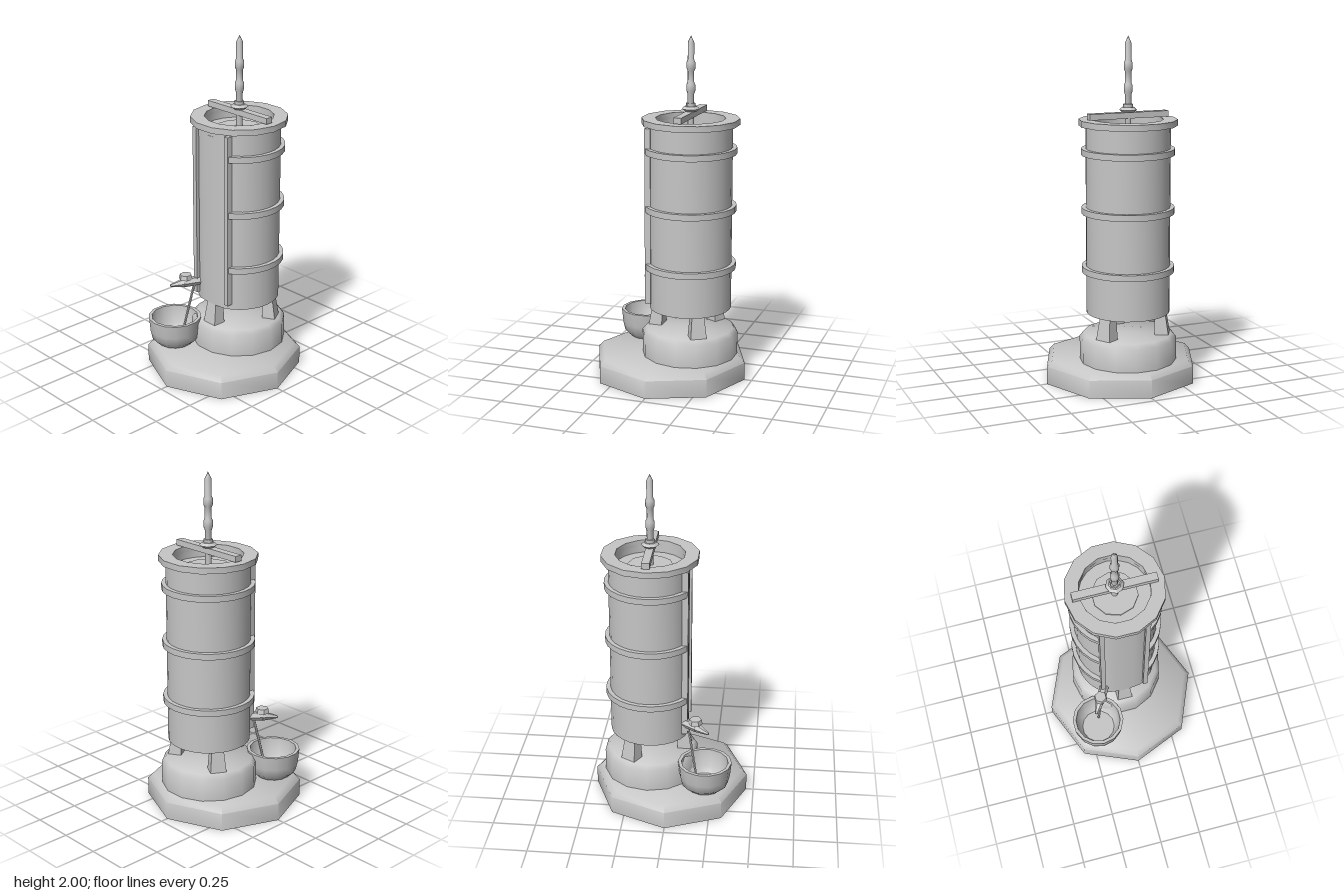
import * as THREE from 'three';
import { toCreasedNormals } from 'three/addons/utils/BufferGeometryUtils.js';

const AXIS_Z = -0.12; // the tank stands behind the centre of the base

export function createModel() {
  const model = new THREE.Group();
  model.name = 'drumWithTap';
  const metal = new THREE.MeshStandardMaterial({ color: 0xc6c6c6, side: THREE.DoubleSide });
  metal.name = 'grey';

  const add = (name, geometry, x = 0, y = 0, z = 0, parent = model) => {
    const mesh = new THREE.Mesh(geometry, metal);
    mesh.name = name;
    mesh.position.set(x, y, z);
    parent.add(mesh);
    return mesh;
  };
  // Turned part from [radius, height] pairs, outer side listed bottom to top
  const turned = (points, sides, crease = 0.9, start = 0, sweep = Math.PI * 2) =>
    toCreasedNormals(new THREE.LatheGeometry(
      points.map(([r, y]) => new THREE.Vector2(r, y)), sides, start, sweep), crease);
  // Rod between two points
  const rod = (name, a, b, ra, rb, sides) => {
    const from = new THREE.Vector3(...a), to = new THREE.Vector3(...b);
    const dir = to.clone().sub(from);
    const geo = toCreasedNormals(new THREE.CylinderGeometry(rb, ra, dir.length(), sides), 0.6);
    const mesh = add(name, geo);
    mesh.position.copy(from).add(to).multiplyScalar(0.5);
    mesh.quaternion.setFromUnitVectors(new THREE.Vector3(0, 1, 0), dir.normalize());
    return mesh;
  };

  // Hollow octagonal base and round plinth
  add('base', turned([[0.457, 0], [0.457, 0.105], [0.425, 0.137], [0, 0.137]], 8));
  add('plinth', turned([[0.28, 0.13], [0.28, 0.27], [0.258, 0.296], [0, 0.296]], 14, 0.9, Math.PI / 14),
    0, 0, AXIS_Z);

  // Three splayed legs, tapering upwards
  for (let i = 0; i < 3; i++) {
    const pivot = new THREE.Group();
    pivot.name = 'leg' + (i + 1);
    pivot.position.z = AXIS_Z;
    pivot.rotation.y = i * Math.PI * 2 / 3;
    model.add(pivot);
    const geo = new THREE.BoxGeometry(0.095, 0.145, 0.08);
    const p = geo.attributes.position;
    for (let k = 0; k < p.count; k++) {
      if (p.getY(k) > 0) p.setXYZ(k, p.getX(k) * 0.72, p.getY(k), p.getZ(k) * 0.72 - 0.012);
    }
    geo.computeVertexNormals();
    add('legPost', geo, 0, 0.363, 0.2, pivot);
  }

  // Tank wall with shallow domed bottom, flattened at the front
  const wall = new THREE.LatheGeometry([[0, 0.405], [0.12, 0.41], [0.24, 0.422], [0.24, 1.51]]
    .map(([r, y]) => new THREE.Vector2(r, y)), 28);
  const wp = wall.attributes.position;
  for (let k = 0; k < wp.count; k++) {
    const z = wp.getZ(k);
    if (z > 0.21) wp.setZ(k, 0.21 + (z - 0.21) * 0.4);
  }
  add('tankWall', toCreasedNormals(wall, 0.6), 0, 0, AXIS_Z);

  // Open rim, lid floor and its raised centre
  add('rim', turned([[0.2, 1.5], [0.28, 1.5], [0.28, 1.535], [0.2, 1.535], [0.2, 1.5]],
    14, 0.9, Math.PI / 14), 0, 0, AXIS_Z);
  add('rimInnerWall', turned([[0.2, 1.455], [0.2, 1.535]], 20), 0, 0, AXIS_Z);
  add('lidFloor', turned([[0.225, 1.46], [0, 1.46]], 20), 0, 0, AXIS_Z);
  add('lidCentre', turned([[0.13, 1.46], [0.13, 1.468], [0, 1.468]], 10), 0, 0, AXIS_Z);

  // Hoops that stop at the front strips
  const gap = 0.56;
  for (const y of [0.66, 1.0, 1.335]) {
    add('hoop', turned([[0.235, y], [0.265, y], [0.265, y + 0.036], [0.235, y + 0.036], [0.235, y]],
      22, 0.9, gap, Math.PI * 2 - gap * 2), 0, 0, AXIS_Z);
  }
  for (const s of [-1, 1]) {
    add('frontStrip', new THREE.BoxGeometry(0.028, 1.03, 0.035), s * 0.131, 0.97, 0.09);
  }

  // Crossbar and central spindle
  add('crossbar', new THREE.BoxGeometry(0.48, 0.034, 0.045), 0, 1.557, AXIS_Z);
  add('spindleCollar', turned([[0, 1.574], [0.035, 1.574], [0.052, 1.588], [0.035, 1.602], [0, 1.602]], 8, 0.3),
    0, 0, AXIS_Z);
  add('spindle', turned([[0.018, 1.46], [0.019, 1.67], [0.026, 1.69], [0.026, 1.725], [0.019, 1.74],
    [0.019, 1.8], [0.026, 1.815], [0.026, 1.85], [0.019, 1.865], [0.019, 1.96], [0, 2]], 8), 0, 0, AXIS_Z);
  add('spindleNut', new THREE.CylinderGeometry(0.028, 0.028, 0.02, 6), 0, 1.61, AXIS_Z);

  // Tap with spout, knob and thin outlet rod
  rod('tapPipe', [-0.115, 0.525, 0.07], [-0.17, 0.52, 0.165], 0.026, 0.03, 6);
  rod('tapSpout', [-0.165, 0.52, 0.155], [-0.213, 0.505, 0.235], 0.03, 0.008, 6);
  add('tapStem', new THREE.CylinderGeometry(0.016, 0.016, 0.04, 6), -0.165, 0.54, 0.155);
  add('tapKnob', toCreasedNormals(new THREE.CylinderGeometry(0.036, 0.042, 0.028, 6), 0.3),
    -0.165, 0.557, 0.155);
  rod('outletRod', [-0.138, 0.51, 0.11], [-0.185, 0.19, 0.165], 0.008, 0.008, 6);

  // Hollow bucket beside the plinth
  add('bucket', turned([[0, 0.138], [0.1, 0.138], [0.138, 0.172], [0.15, 0.225], [0.158, 0.307],
    [0.138, 0.307], [0.128, 0.2], [0.1, 0.165], [0, 0.165]], 14), -0.2, 0, 0.215);

  return model;
}
